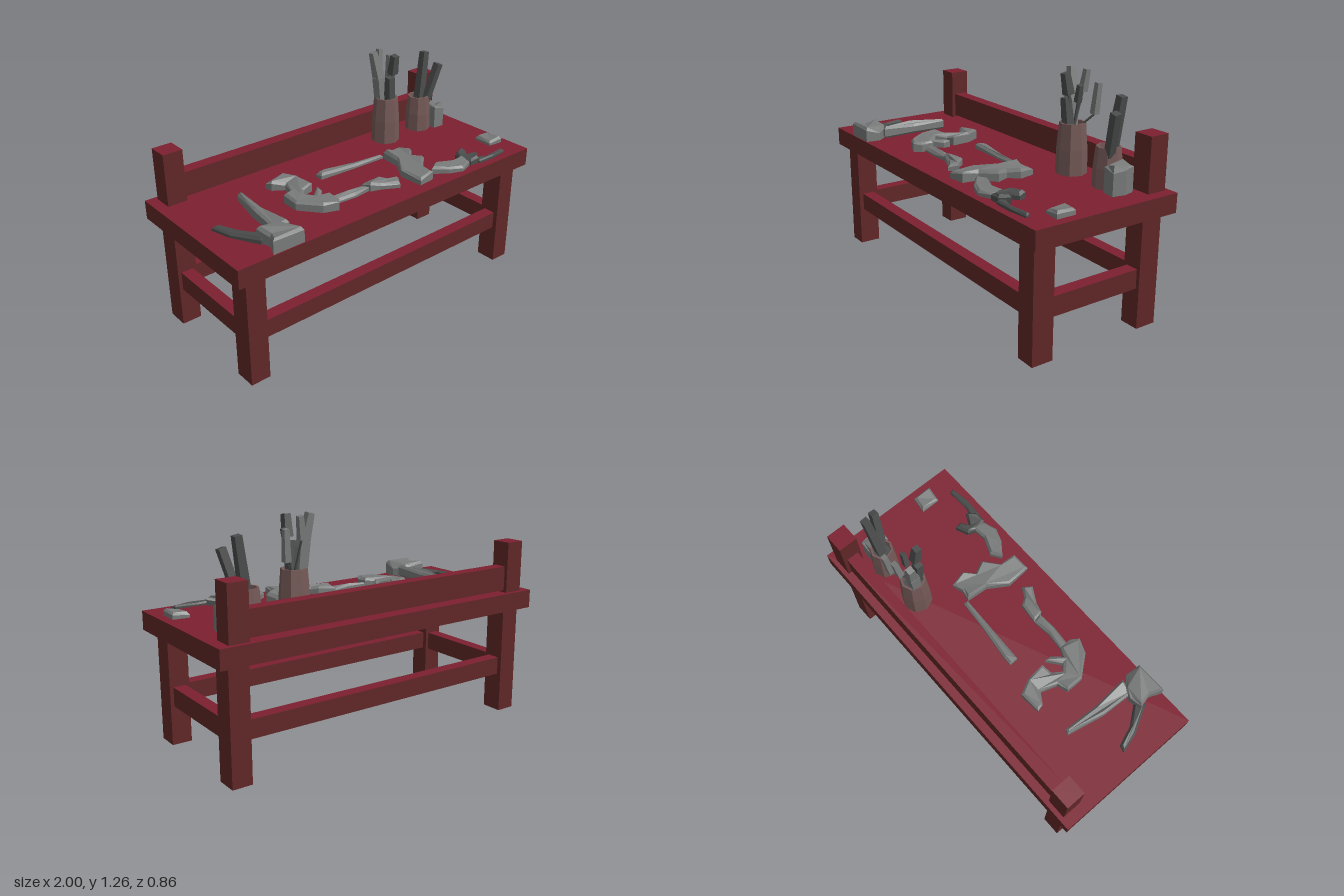
import * as THREE from 'three';

const mat = (name, color) => {
  const m = new THREE.MeshStandardMaterial({ color, flatShading: true });
  m.name = name;
  return m;
};

export function createModel() {
  const crimson = mat('crimson paint', 0x7c2030);
  const brown = mat('red brown wood', 0x602626);
  const grey = mat('grey metal', 0x777a79);
  const dark = mat('dark metal', 0x4a4c4b);
  const clay = mat('dusty cup', 0x735856);
  const group = new THREE.Group();
  group.name = 'workbench';

  const add = (name, geo, material) => {
    const mesh = new THREE.Mesh(geo, material);
    mesh.name = name;
    group.add(mesh);
    return mesh;
  };

  // Box given by its limits; upward faces are painted crimson
  const board = (name, x0, x1, y0, y1, z0, z1, under = brown) => {
    const g = new THREE.BoxGeometry(x1 - x0, y1 - y0, z1 - z0);
    g.translate((x0 + x1) / 2, (y0 + y1) / 2, (z0 + z1) / 2);
    return add(name, g, [brown, brown, crimson, under, brown, brown]);
  };

  // Bench frame
  board('tableTop', -1, 1, 0.61, 0.713, -0.43, 0.425, crimson);
  for (const s of [-1, 1]) {
    const side = s < 0 ? 'right' : 'left';
    const a = s < 0 ? -0.94 : 0.83, b = a + 0.11;
    board(side + 'FrontLeg', a, b, 0, 0.615, 0.265, 0.385);
    board(side + 'BackLeg', a, b, 0, 0.615, -0.39, -0.27);
    board(side + 'BackPost', a, b, 0.7, 1, -0.405, -0.295);
    board(side + 'Stretcher', a + 0.02, b - 0.02, 0.215, 0.32, -0.28, 0.28);
  }
  board('frontStretcher', -0.84, 0.84, 0.22, 0.32, 0.29, 0.36);
  board('backStretcher', -0.84, 0.84, 0.22, 0.32, -0.365, -0.295);
  board('backRail', -0.84, 0.84, 0.725, 0.862, -0.385, -0.315);

  // Rough flat piece from an outline of [x, z] points, with an uneven top
  const slab = (name, pts, height, material = grey, base = 0.712) => {
    const shape = new THREE.Shape(pts.map(([x, z]) => new THREE.Vector2(x, -z)));
    const bevel = Math.min(0.012, height / 3);
    const g = new THREE.ExtrudeGeometry(shape, {
      depth: height - bevel, bevelEnabled: true, bevelThickness: bevel,
      bevelSize: bevel, bevelOffset: -bevel, bevelSegments: 1,
    });
    g.rotateX(-Math.PI / 2);
    const p = g.attributes.position;
    for (let i = 0; i < p.count; i++) {
      const y = p.getY(i);
      const wave = 0.5 + 0.5 * Math.sin(p.getX(i) * 37 + p.getZ(i) * 53);
      if (y > height / 2) p.setY(i, y - wave * height * 0.35);
    }
    g.translate(0, base, 0);
    g.computeVertexNormals();
    return add(name, g, material);
  };

  // Forked tool
  slab('forkedToolHead', [[-0.8, 0.42], [-0.62, 0.42], [-0.61, 0.34], [-0.66, 0.28], [-0.72, 0.26], [-0.79, 0.27], [-0.77, 0.35]], 0.085);
  slab('forkedToolHandle', [[-0.7, 0.29], [-0.62, 0.3], [-0.63, 0.1], [-0.62, -0.1], [-0.645, -0.11], [-0.69, 0.1]], 0.06, grey, 0.725);
  slab('forkedToolArm', [[-0.79, 0.31], [-0.73, 0.29], [-0.82, 0.17], [-0.86, 0.06], [-0.9, 0.05], [-0.87, 0.16]], 0.04, dark);

  // Curved jaw tool and its handle
  slab('jawTool', [
    [-0.45, -0.14], [-0.33, -0.15], [-0.29, -0.07], [-0.28, 0.04], [-0.34, 0.05], [-0.38, 0.1], [-0.34, 0.13],
    [-0.27, 0.07], [-0.27, 0.11], [-0.32, 0.16], [-0.27, 0.18], [-0.27, 0.25], [-0.3, 0.29], [-0.38, 0.26],
    [-0.47, 0.15], [-0.47, 0.05], [-0.41, 0.03], [-0.38, -0.06], [-0.44, -0.1],
  ], 0.06);
  slab('jawToolHandle', [[-0.29, 0.18], [-0.17, 0.19], [-0.06, 0.18], [-0.05, 0.23], [-0.15, 0.24], [-0.28, 0.23]], 0.035);
  slab('jawToolEnd', [[-0.06, 0.18], [0.05, 0.19], [0.08, 0.23], [0.13, 0.26], [0.1, 0.31], [0.01, 0.26], [-0.05, 0.24]], 0.05);

  // Slim file
  slab('file', [[-0.16, -0.08], [-0.11, -0.08], [0.08, -0.055], [0.27, -0.04], [0.27, -0.015], [0.08, -0.02], [-0.16, -0.03]], 0.035);

  // Hammer and the pieces beside it
  slab('hammerHead', [[0.27, -0.01], [0.33, 0.0], [0.39, -0.02], [0.41, 0.07], [0.36, 0.12], [0.39, 0.19], [0.31, 0.26], [0.3, 0.35], [0.2, 0.36], [0.19, 0.22], [0.26, 0.11]], 0.06);
  slab('hammerHandle', [[0.34, 0.3], [0.4, 0.26], [0.5, 0.3], [0.59, 0.29], [0.58, 0.36], [0.5, 0.39], [0.42, 0.36]], 0.045);
  slab('pincerJaw', [[0.56, 0.31], [0.58, 0.25], [0.65, 0.22], [0.66, 0.26], [0.62, 0.29], [0.68, 0.32], [0.64, 0.37], [0.58, 0.37]], 0.045, dark);
  slab('pincerHandle', [[0.64, 0.33], [0.72, 0.35], [0.85, 0.345], [0.86, 0.37], [0.75, 0.385], [0.64, 0.38]], 0.025, dark);
  slab('smallBlock', [[0.86, 0.15], [0.95, 0.16], [0.95, 0.27], [0.86, 0.26]], 0.04);

  // Faceted tool cups with dark mouths
  const cup = (name, x, z, r, top) => {
    const h = top - 0.71;
    const g = new THREE.LatheGeometry([
      [r * 1.04, 0], [r, h * 0.5], [r * 0.86, h], [r * 0.7, h], [r * 0.66, h - 0.05],
    ].map(([a, b]) => new THREE.Vector2(a, b)), 8);
    g.translate(x, 0.71, z);
    add(name, g, clay);
    const fill = new THREE.CircleGeometry(r * 0.68, 8);
    fill.rotateX(-Math.PI / 2).translate(x, top - 0.045, z);
    add(name + 'Mouth', fill, dark);
  };
  cup('tallCup', 0.465, -0.21, 0.08, 0.98);
  cup('shortCup', 0.735, -0.215, 0.073, 0.92);

  // Tapered bar between two points
  const bar = (name, a, b, w0, w1, material) => {
    const from = new THREE.Vector3(...a), to = new THREE.Vector3(...b);
    const g = new THREE.CylinderGeometry(w1 * 0.7, w0 * 0.7, from.distanceTo(to), 4);
    g.rotateY(Math.PI / 4);
    const mesh = add(name, g, material);
    mesh.position.copy(from).add(to).multiplyScalar(0.5);
    mesh.quaternion.setFromUnitVectors(new THREE.Vector3(0, 1, 0), to.sub(from).normalize());
  };

  // Tools standing in the cups
  bar('chiselHandle', [0.44, 0.9, -0.22], [0.425, 1.1, -0.23], 0.05, 0.055, grey);
  bar('chiselBlade', [0.43, 1.08, -0.23], [0.395, 1.25, -0.25], 0.055, 0.035, grey);
  bar('shortRod', [0.47, 0.9, -0.185], [0.455, 1.11, -0.17], 0.05, 0.04, dark);
  const heads = [
    [[0.46, 1.13, -0.275], [0.475, 1.245, -0.285], 0.035],
    [[0.5, 1.09, -0.21], [0.52, 1.18, -0.205], 0.03],
    [[0.55, 1.03, -0.28], [0.56, 1.19, -0.29], 0.035],
    [[0.475, 1.13, -0.17], [0.47, 1.24, -0.15], 0.045],
  ];
  heads.forEach(([a, b, w], i) => {
    bar('toolHead' + (i + 1), a, b, w, w * 0.8, i % 2 ? dark : grey);
    bar('toolStem' + (i + 1), [0.47, 0.93, -0.21], a, 0.008, 0.008, dark);
  });
  bar('longRod', [0.745, 0.88, -0.22], [0.79, 1.175, -0.235], 0.05, 0.04, dark);
  bar('bentRod', [0.77, 0.88, -0.19], [0.835, 1.11, -0.16], 0.04, 0.04, dark);

  // Small box beside the short cup
  slab('scrapBox', [[0.79, -0.26], [0.87, -0.26], [0.885, -0.2], [0.87, -0.13], [0.8, -0.135]], 0.16);

  return group;
}
